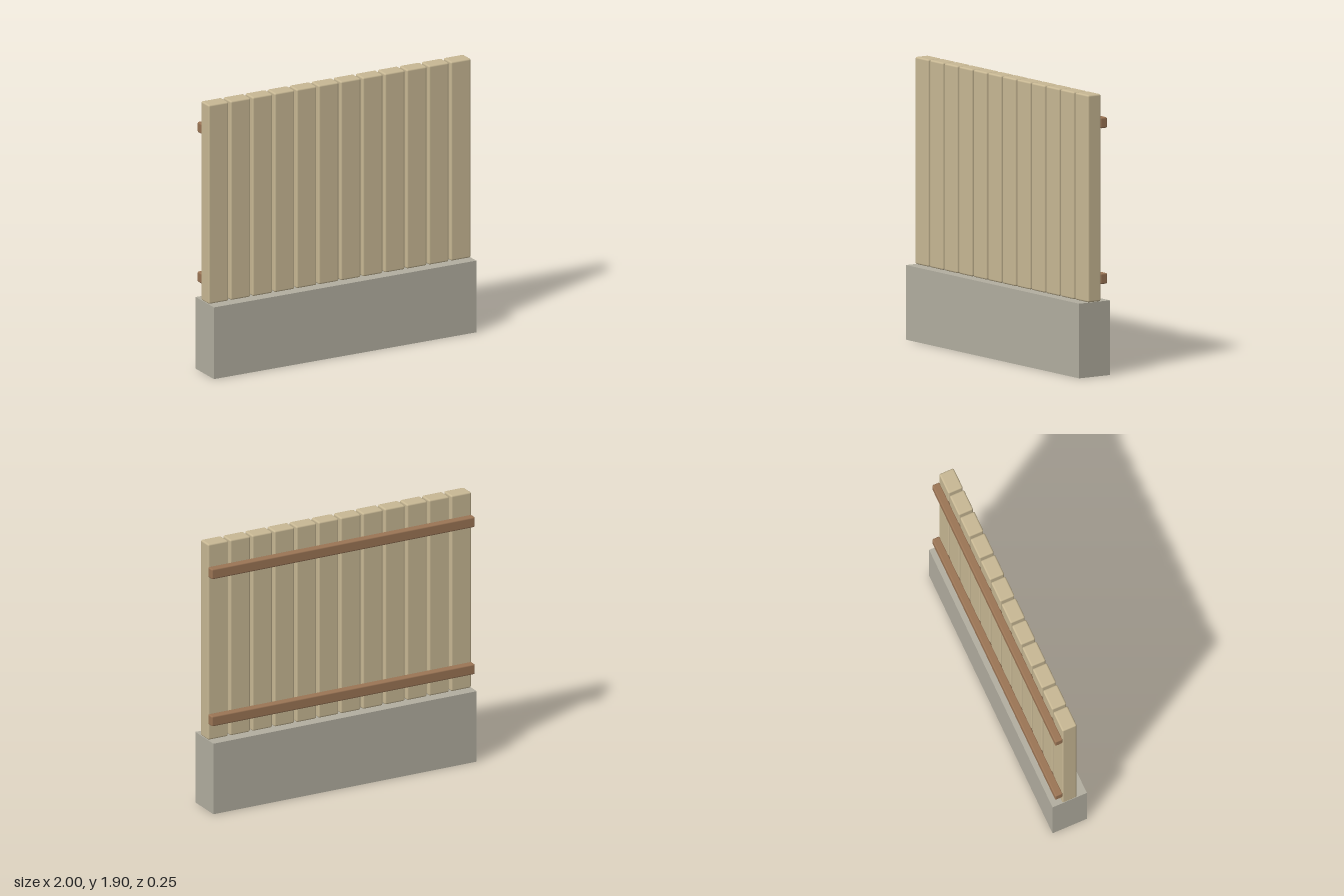
import * as THREE from 'three';
import { RoundedBoxGeometry } from 'three/addons/geometries/RoundedBoxGeometry.js';

export function createModel() {
  const group = new THREE.Group();
  group.name = 'picketFence';

  const paleWood = new THREE.MeshStandardMaterial({ name: 'paleWood', color: 0xc8b894 });
  const brownWood = new THREE.MeshStandardMaterial({ name: 'brownWood', color: 0x9b7555 });
  const concrete = new THREE.MeshStandardMaterial({ name: 'concrete', color: 0xb2aea0 });

  const add = (name, geometry, material, x, y, z) => {
    const mesh = new THREE.Mesh(geometry, material);
    mesh.name = name;
    mesh.position.set(x, y, z);
    group.add(mesh);
  };

  // Concrete footing wall
  const baseTop = 0.503;
  add('footing', new THREE.BoxGeometry(2, baseTop, 0.25), concrete, 0, baseTop / 2, 0);

  // Twelve upright planks with softened edges
  const count = 12, width = 0.153, fenceTop = 1.9;
  const height = fenceTop - baseTop;
  const plank = new RoundedBoxGeometry(width, height, 0.106, 2, 0.012);
  const pitch = (2 - width) / (count - 1);
  for (let i = 0; i < count; i++) {
    add('plank' + (i + 1), plank, paleWood, -1 + width / 2 + i * pitch, baseTop + height / 2, 0);
  }

  // Two horizontal rails across the back
  const rail = new RoundedBoxGeometry(2, 0.073, 0.056, 2, 0.01);
  add('lowerRail', rail, brownWood, 0, 0.653, -0.077);
  add('upperRail', rail, brownWood, 0, 1.703, -0.077);

  return group;
}
